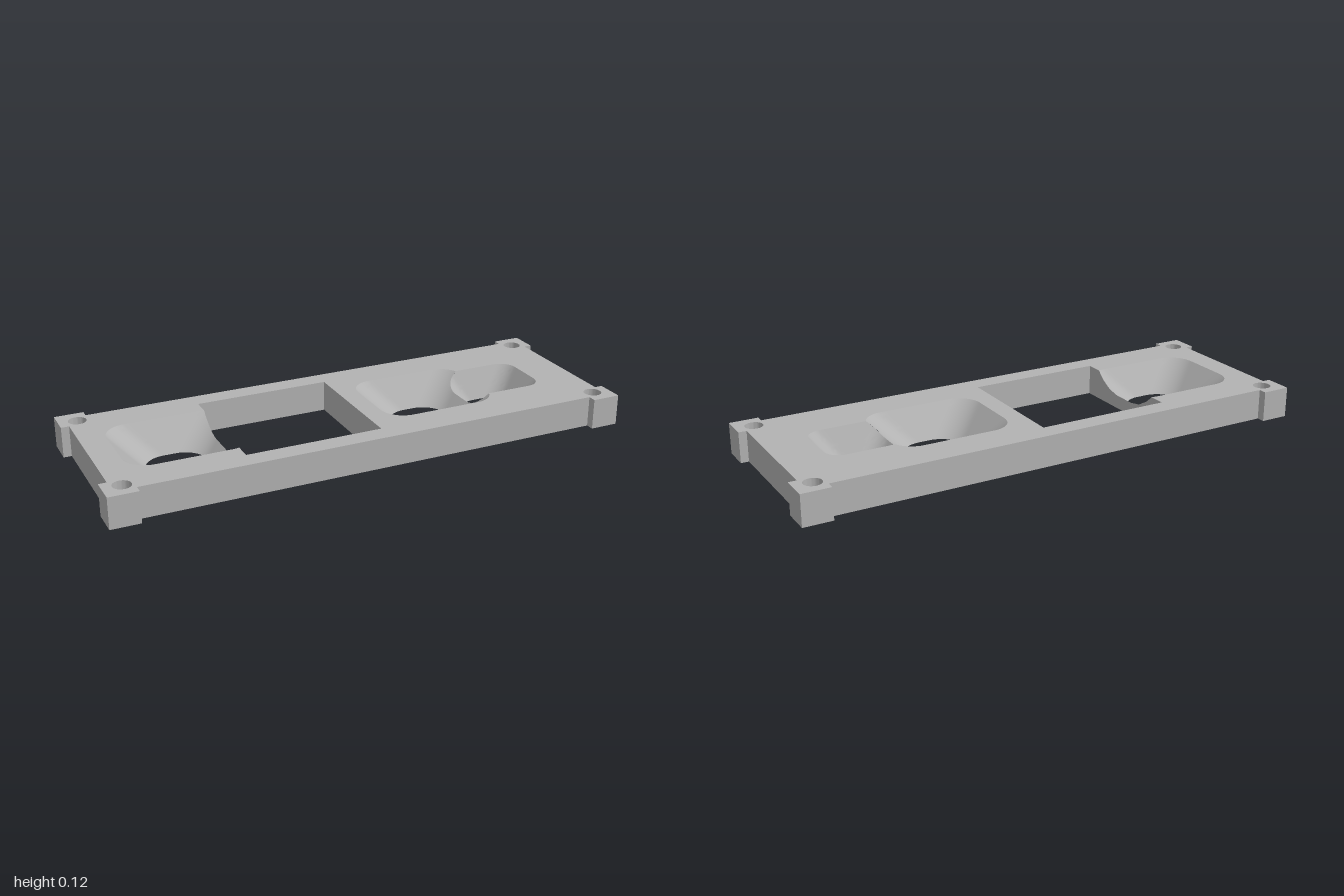
import * as THREE from 'three';
import { toCreasedNormals } from 'three/addons/utils/BufferGeometryUtils.js';

const H = 0.118; // plate thickness

// A pocket is a rounded rectangle (half sizes, corner radius) lofted from bottom to top.
const pocket = (cx, cz, bottom, top, r) => ({ cx, cz, bottom, top, r });
const sizeAt = (p, y) => p.bottom.map((b, i) => b + (p.top[i] - b) * (y / H));

// Outline of a pocket at height y, running from +x towards +z
function outline(p, y) {
  const [hx, hz] = sizeAt(p, y);
  const arcs = [[1, 1], [-1, 1], [-1, -1], [1, -1]].map(([sx, sz], k) => {
    const n = p.r > 0 ? 10 : 0, arc = [];
    for (let i = 0; i <= n; i++) {
      const a = (k + (n ? i / n : 0)) * Math.PI / 2;
      arc.push(new THREE.Vector3(
        p.cx + sx * (hx - p.r) + p.r * Math.cos(a), y,
        p.cz + sz * (hz - p.r) + p.r * Math.sin(a)));
    }
    return arc;
  });
  const pts = [];
  arcs.forEach((arc, k) => {
    const end = arc[arc.length - 1], next = arcs[(k + 1) % 4][0];
    pts.push(...arc);
    for (let i = 1; i < 10; i++) pts.push(end.clone().lerp(next, i / 10));
  });
  return pts;
}

// Signed distance to the pocket's section at the point's height (negative inside)
function distance(p, v) {
  const [hx, hz] = sizeAt(p, v.y);
  const qx = Math.abs(v.x - p.cx) - hx + p.r, qz = Math.abs(v.z - p.cz) - hz + p.r;
  return Math.hypot(Math.max(qx, 0), Math.max(qz, 0)) + Math.min(Math.max(qx, qz), 0) - p.r;
}

// Triangles of a wall between two closed outlines
function wall(low, high, rows) {
  const tris = [], n = low.length;
  const at = (i, j) => low[i % n].clone().lerp(high[i % n], j / rows);
  for (let i = 0; i < n; i++) for (let j = 0; j < rows; j++) {
    const a = at(i, j), b = at(i + 1, j), c = at(i + 1, j + 1), d = at(i, j + 1);
    tris.push([a, b, c], [a, c, d]);
  }
  return tris;
}

// Cut away the part of the triangles lying inside a pocket
function cut(tris, p) {
  const out = [];
  for (const tri of tris) {
    const poly = [], d = tri.map(v => distance(p, v));
    for (let i = 0; i < 3; i++) {
      const j = (i + 1) % 3;
      if (d[i] >= 0) poly.push(tri[i]);
      if (d[i] * d[j] < 0) poly.push(tri[i].clone().lerp(tri[j], d[i] / (d[i] - d[j])));
    }
    for (let i = 2; i < poly.length; i++) out.push([poly[0], poly[i - 1], poly[i]]);
  }
  return out;
}

// Joined top outline of two overlapping pockets, sorted around a shared inner point
function joined(a, b, midX) {
  const A = outline(a, H), B = outline(b, H);
  const pts = [...A.filter(v => distance(b, v) > 0), ...B.filter(v => distance(a, v) > 0)];
  A.forEach((v, i) => {
    const w = A[(i + 1) % A.length], d = distance(b, v), e = distance(b, w);
    if (d * e < 0) pts.push(v.clone().lerp(w, d / (d - e)));
  });
  const angle = v => Math.atan2(v.z, v.x - midX);
  return pts.sort((v, w) => angle(v) - angle(w));
}

// Flat face with holes, facing up (1) or down (-1)
function face(rim, holes, y, dir) {
  const flat = list => list.map(v => new THREE.Vector2(v.x, v.z));
  const all = [rim, ...holes].flat().map(v => new THREE.Vector3(v.x, y, v.z));
  return THREE.ShapeUtils.triangulateShape(flat(rim), holes.map(flat)).map(([i, j, k]) => {
    const [a, b, c] = [all[i], all[j], all[k]];
    const up = (b.z - a.z) * (c.x - a.x) - (b.x - a.x) * (c.z - a.z);
    return up * dir > 0 ? [a, b, c] : [a, c, b];
  });
}

function toMesh(name, tris, material) {
  const area = new THREE.Triangle();
  const solid = tris.filter(t => area.set(...t).getArea() > 1e-9);
  const geo = new THREE.BufferGeometry().setFromPoints(solid.flat());
  const mesh = new THREE.Mesh(toCreasedNormals(geo, 0.45), material);
  mesh.name = name;
  return mesh;
}

export function createModel() {
  const group = new THREE.Group();
  group.name = 'mountingPlate';
  const grey = new THREE.MeshStandardMaterial({ color: 0xb2b2b2 });
  grey.name = 'plate grey';

  // Openings
  const win = pocket(-0.22, 0, [0.26, 0.248], [0.26, 0.248], 0);
  const leftFunnel = pocket(-0.645, 0, [0.113, 0.111], [0.23, 0.185], 0.09);
  const midFunnel = pocket(0.343, 0, [0.113, 0.111], [0.228, 0.185], 0.09);
  const smallFunnel = pocket(0.64, 0, [0.081, 0.082], [0.165, 0.128], 0.06);
  const screws = [];
  for (const sx of [-1, 1]) for (const sz of [-1, 1])
    screws.push(pocket(sx * 0.93, sz * 0.288, [0.0335, 0.0335], [0.0335, 0.0335], 0.033));

  // Rim of the plate with its four corner tabs
  const corner = [[0.97, 0.25], [1, 0.25], [1, 0.357], [0.89, 0.357], [0.89, 0.325]];
  const rim = [[1, 1], [-1, 1], [-1, -1], [1, -1]].flatMap(([sx, sz]) => {
    const pts = corner.map(([x, z]) => new THREE.Vector3(sx * x, 0, sz * z));
    return sx * sz > 0 ? pts : pts.reverse();
  });
  const outer = rim.slice().reverse();
  const raised = outer.map(v => v.clone().setY(H));
  group.add(toMesh('outerSides', wall(outer, raised, 1), grey));

  // Top and bottom faces
  const topHoles = [joined(leftFunnel, win, -0.45), joined(midFunnel, smallFunnel, 0.52),
    ...screws.map(p => outline(p, H))];
  const bottomHoles = [win, leftFunnel, midFunnel, smallFunnel, ...screws].map(p => outline(p, 0));
  group.add(toMesh('topFace', face(rim, topHoles, H, 1), grey));
  group.add(toMesh('bottomFace', face(rim, bottomHoles, 0, -1), grey));

  // Walls of the openings, trimmed where two of them meet
  const inside = (name, p, rows, other) => {
    const tris = wall(outline(p, 0), outline(p, H), rows);
    group.add(toMesh(name, other ? cut(tris, other) : tris, grey));
  };
  inside('windowWalls', win, 14, leftFunnel);
  inside('leftFunnel', leftFunnel, 14, win);
  inside('middleFunnel', midFunnel, 14, smallFunnel);
  inside('smallFunnel', smallFunnel, 14, midFunnel);
  screws.forEach((p, i) => inside('screwHole' + (i + 1), p, 1));

  return group;
}
